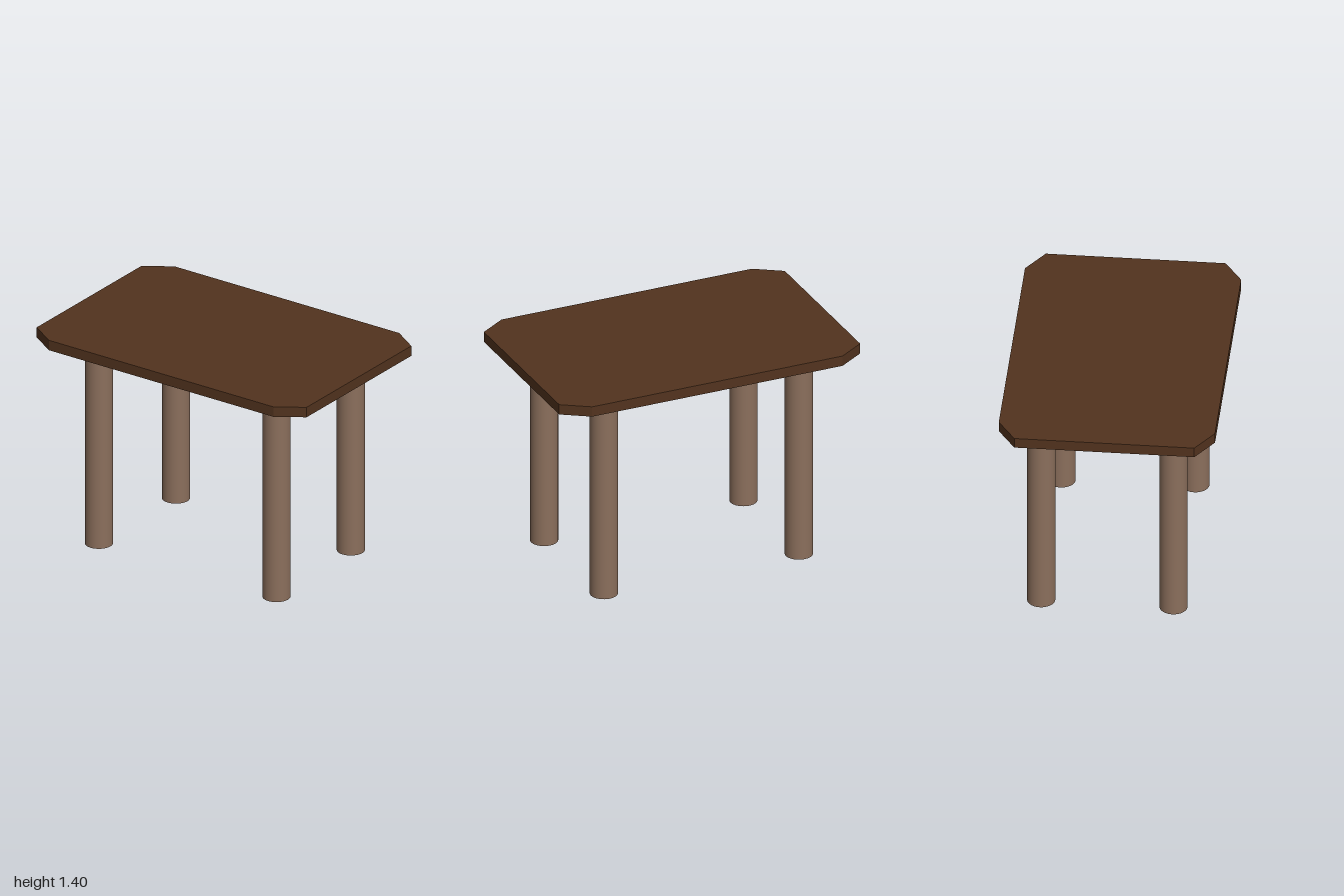
import * as THREE from 'three';

const HEIGHT = 1.4, THICKNESS = 0.066, LEG_RADIUS = 0.0855;

// Slab with four clipped corners, lying flat with its underside at y = 0
function slabGeometry(halfX, halfZ, cutX, cutZ, thickness) {
  const x = halfX - cutX, z = halfZ - cutZ;
  const outline = new THREE.Shape([
    [x, -halfZ], [halfX, -z], [halfX, z], [x, halfZ],
    [-x, halfZ], [-halfX, z], [-halfX, -z], [-x, -halfZ],
  ].map(([px, pz]) => new THREE.Vector2(px, pz)));
  return new THREE.ExtrudeGeometry(outline, { depth: thickness, bevelEnabled: false })
    .rotateX(-Math.PI / 2);
}

export function createModel() {
  const table = new THREE.Group();
  table.name = 'table';
  const darkWood = new THREE.MeshStandardMaterial({ color: 0x52331e });
  const paleWood = new THREE.MeshStandardMaterial({ color: 0x8b6f5c });

  // Table top
  const top = new THREE.Mesh(slabGeometry(1, 0.656, 0.168, 0.11, THICKNESS), darkWood);
  top.name = 'tableTop';
  top.position.y = HEIGHT - THICKNESS;
  table.add(top);

  // Round legs, placed slightly unevenly
  const legHeight = HEIGHT - THICKNESS;
  const legGeometry = new THREE.CylinderGeometry(LEG_RADIUS, LEG_RADIUS, legHeight, 32);
  const legs = {
    frontLeftLeg: [0.669, 0.394],
    frontRightLeg: [-0.652, 0.387],
    backLeftLeg: [0.644, -0.416],
    backRightLeg: [-0.652, -0.416],
  };
  for (const [name, [x, z]] of Object.entries(legs)) {
    const leg = new THREE.Mesh(legGeometry, paleWood);
    leg.name = name;
    leg.position.set(x, legHeight / 2, z);
    table.add(leg);
  }
  return table;
}
